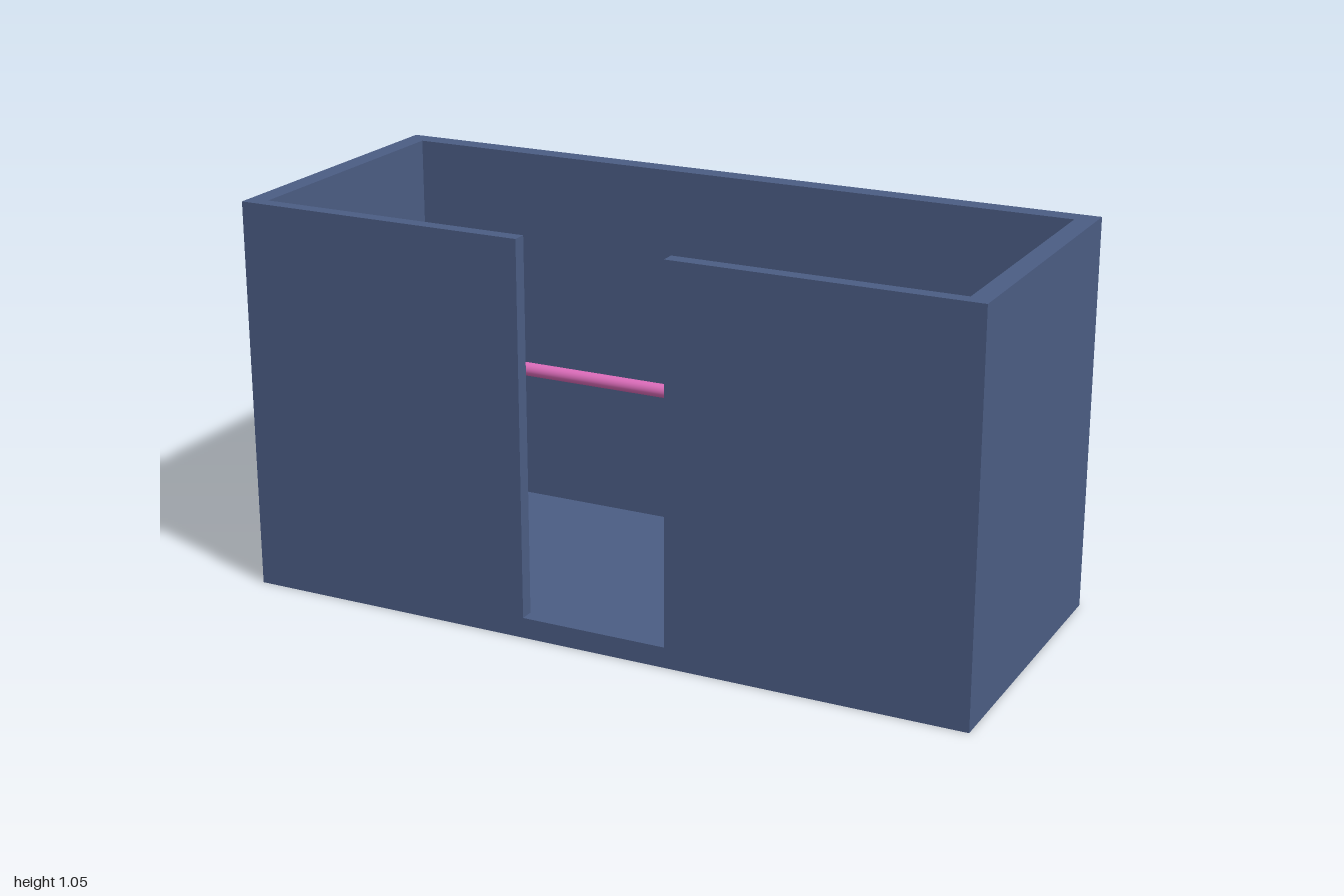
import * as THREE from 'three';

export function createModel() {
  const model = new THREE.Group();
  const blue = new THREE.MeshStandardMaterial({ color: 0x4b5d84 });
  const pink = new THREE.MeshStandardMaterial({ color: 0xdc6cba });
  const teal = new THREE.MeshStandardMaterial({ color: 0x5accc4 });

  const W = 1, D = 0.416, H = 1.05;       // half width, half depth, height
  const FLOOR = 0.055, SIDE = 0.054, BACK = 0.054, FRONT = 0.038, DOOR = 0.2;

  const add = (name, geometry, material) => {
    const mesh = new THREE.Mesh(geometry, material);
    mesh.name = name;
    model.add(mesh);
    return mesh;
  };
  // Box given by its two opposite corners
  const box = (name, [x0, y0, z0], [x1, y1, z1], material = blue) =>
    add(name, new THREE.BoxGeometry(x1 - x0, y1 - y0, z1 - z0), material)
      .position.set((x0 + x1) / 2, (y0 + y1) / 2, (z0 + z1) / 2);

  // Cabin floor and solid walls
  box('floor', [-W + SIDE, 0, -D + BACK], [W - SIDE, FLOOR, D - FRONT]);
  box('backWall', [-W + SIDE, 0, -D], [W - SIDE, H, -D + BACK]);
  box('rightWall', [-W, 0, -D], [-W + SIDE, H, D]);
  box('leftWall', [W - SIDE, 0, -D], [W, H, D]);

  // Front wall with the doorway open to the top, sill at floor level
  const w = W - SIDE;
  const outline = new THREE.Shape([
    [-w, 0], [w, 0], [w, H], [DOOR, H], [DOOR, FLOOR],
    [-DOOR, FLOOR], [-DOOR, H], [-w, H],
  ].map(([x, y]) => new THREE.Vector2(x, y)));
  add('frontWall', new THREE.ExtrudeGeometry(outline, { depth: FRONT, bevelEnabled: false }), blue)
    .position.z = D - FRONT;

  // Handrails along the back and both sides
  const rail = (name, length) => add(name, new THREE.CylinderGeometry(0.019, 0.019, length, 24), pink);
  const backRail = rail('backHandrail', 1.82);
  backRail.rotation.z = Math.PI / 2;
  backRail.position.set(0, 0.44, -0.328);
  for (const [name, x] of [['rightHandrail', -0.908], ['leftHandrail', 0.892]]) {
    const side = rail(name, 0.69);
    side.rotation.x = Math.PI / 2;
    side.position.set(x, 0.44, 0.023);
  }

  // Control panel inside the front wall, beside the doorway
  box('controlPanel', [0.267, 0.4, 0.342], [0.375, 0.6, D - FRONT], teal);

  return model;
}
